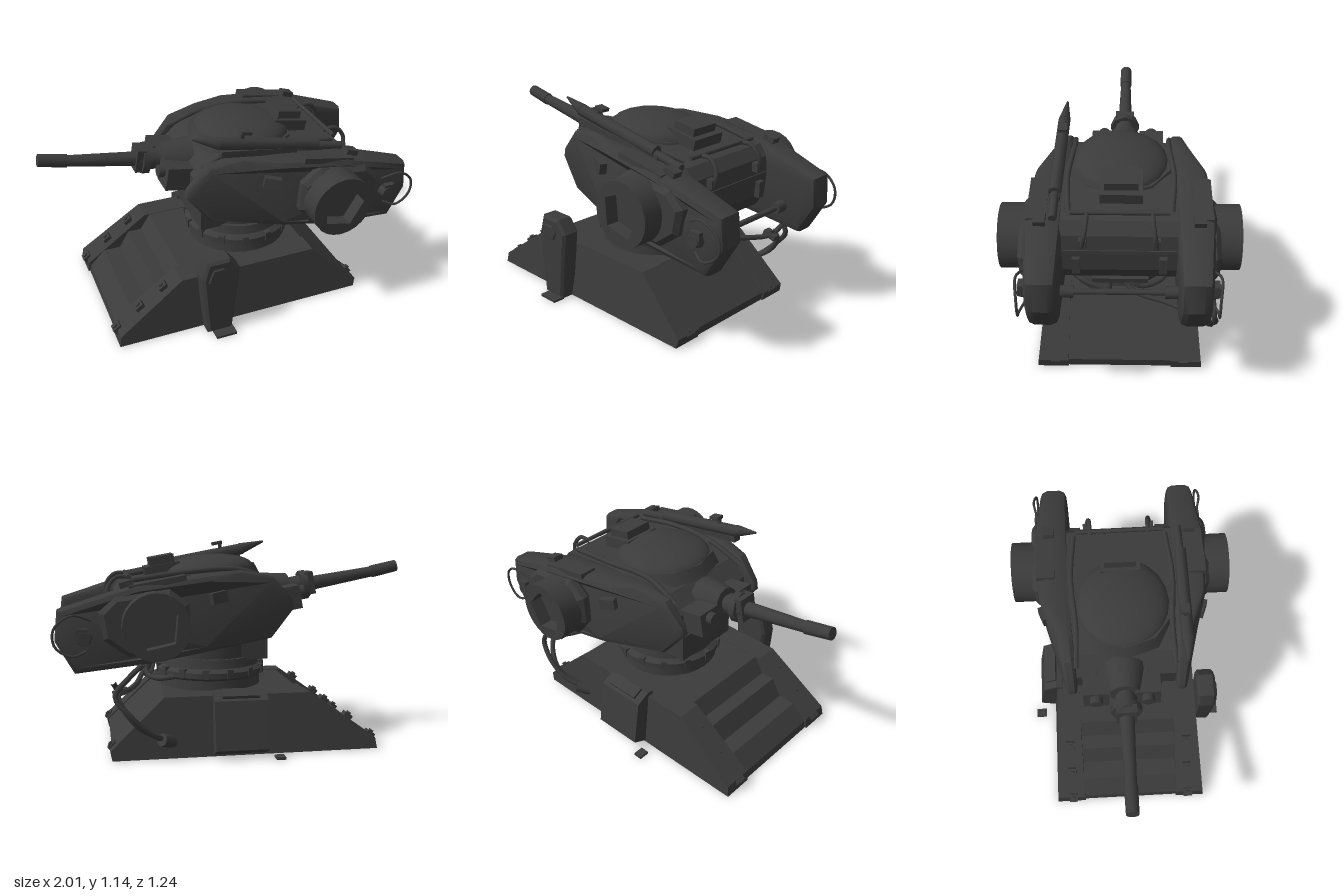
import * as THREE from 'three';
import { toCreasedNormals } from 'three/addons/utils/BufferGeometryUtils.js';

const TILT = -0.18; // the gun house leans down towards +x
const V = (p) => new THREE.Vector3(...p);

function place(geo, x = 0, y = 0, z = 0, rx = 0, ry = 0, rz = 0) {
  return geo.rotateX(rx).rotateY(ry).rotateZ(rz).translate(x, y, z);
}
const box = (w, h, d, ...t) => place(new THREE.BoxGeometry(w, h, d), ...t);
const cyl = (r1, r2, h, n, ...t) => place(new THREE.CylinderGeometry(r1, r2, h, n), ...t);
const shapeOf = (pts) => new THREE.Shape(pts.map((p) => new THREE.Vector2(...p)));
const slab = (pts, z0, z1, bevel = 0) => new THREE.ExtrudeGeometry(shapeOf(pts), {
  depth: z1 - z0 - 2 * bevel, bevelEnabled: bevel > 0, bevelThickness: bevel,
  bevelSize: bevel, bevelOffset: -bevel, bevelSegments: 1,
}).translate(0, 0, z0 + bevel);
const tube = (pts, r) => new THREE.TubeGeometry(new THREE.CatmullRomCurve3(pts.map(V)), 24, r, 7);
// Cylinder from point a to point b
function rod(a, b, r1, r2 = r1, n = 10) {
  const d = V(b).sub(V(a));
  const q = new THREE.Quaternion().setFromUnitVectors(new THREE.Vector3(0, 1, 0), d.clone().normalize());
  return new THREE.CylinderGeometry(r2, r1, d.length(), n).applyQuaternion(q)
    .translate(...V(a).addScaledVector(d, 0.5).toArray());
}
// Mirror across z = 0, keeping faces outward
function mirrorZ(geo) {
  const g = geo.index ? geo.toNonIndexed() : geo.clone();
  g.scale(1, 1, -1);
  for (const name of ['position', 'normal']) {
    const a = g.attributes[name];
    for (let i = 0; i < a.count; i += 3) {
      const b = [a.getX(i + 1), a.getY(i + 1), a.getZ(i + 1)];
      a.setXYZ(i + 1, a.getX(i + 2), a.getY(i + 2), a.getZ(i + 2));
      a.setXYZ(i + 2, ...b);
    }
  }
  return g;
}
// Move every vertex by a rule, then rebuild the normals
function warp(geo, rule, crease = 0.6) {
  const p = geo.attributes.position;
  for (let i = 0; i < p.count; i++) p.setXYZ(i, ...rule(p.getX(i), p.getY(i), p.getZ(i)));
  geo.computeVertexNormals();
  return toCreasedNormals(geo, crease);
}
function lerpTable(t, x) {
  if (x <= t[0][0]) return t[0][1];
  for (let i = 1; i < t.length; i++) if (x <= t[i][0]) {
    return THREE.MathUtils.mapLinear(x, t[i - 1][0], t[i][0], t[i - 1][1], t[i][1]);
  }
  return t[t.length - 1][1];
}

export function createModel() {
  const model = new THREE.Group();
  const gunmetal = new THREE.MeshStandardMaterial({ color: 0x3b3b3b });
  gunmetal.name = 'gunmetal';
  const add = (name, geo) => {
    const m = new THREE.Mesh(geo, gunmetal);
    m.name = name;
    model.add(m);
  };
  const pair = (name, geo) => { add(name + 'Front', geo); add(name + 'Back', mirrorZ(geo)); };

  // Base: leaning side rails and a stepped, hollow middle
  const rail = [[-0.75, 0.01], [0.71, 0.01], [0.72, 0.06], [0.43, 0.335], [-0.37, 0.335], [-0.74, 0.07]];
  pair('baseRail', warp(slab(rail, 0.28, 0.45), (x, y, z) => [x, y, z > 0.4 ? z - 0.11 * (y - 0.01) : z], 0.3));
  add('baseMiddle', slab([[-0.74, 0.01], [-0.5, 0.01], [-0.5, 0.04], [0.66, 0.04], [0.66, 0.01], [0.7, 0.01],
    [0.71, 0.06], [0.42, 0.332], [-0.34, 0.332], [-0.4, 0.24], [-0.48, 0.24], [-0.54, 0.14], [-0.64, 0.14],
    [-0.73, 0.05]], -0.28, 0.28));
  for (const [x, y, a] of [[0.7, 0.065, -0.75], [-0.735, 0.065, 0.62], [-0.6, 0.175, 0.62], [-0.46, 0.275, 0.62]]) {
    pair('railBolt', box(0.05, 0.04, 0.05, x, y, 0.35, 0, 0, a));
    pair('railBoltHead', cyl(0.014, 0.014, 0.06, 6, x, y, 0.35, 0, 0, a));
  }

  // Side shield, rear box and feet
  add('sideShield', slab([[-0.26, 0.01], [-0.115, 0.01], [-0.07, 0.42], [-0.13, 0.495], [-0.26, 0.495], [-0.29, 0.39]],
    0.42, 0.53, 0.015));
  add('shieldLatch', slab([[-0.26, 0.37], [-0.16, 0.37], [-0.14, 0.41], [-0.17, 0.45], [-0.23, 0.45]], 0.52, 0.54, 0.005));
  add('sideFoot', box(0.12, 0.014, 0.07, -0.17, 0.015, 0.55));
  add('rearBox', slab([[0.38, 0.36], [0.42, 0.36], [0.495, 0.32], [0.535, 0.06], [0.43, 0.01], [0.38, 0.01]], -0.12, 0.17)
    .rotateY(Math.PI / 2));
  add('rearBoxLid', box(0.2, 0.02, 0.07, 0.025, 0.35, -0.45, -0.45));
  add('rearFoot', box(0.05, 0.014, 0.06, -0.175, 0.015, -0.54));

  // Turning ring and neck
  const ring = [[0, 0.33], [0.29, 0.33], [0.285, 0.385], [0.31, 0.4], [0.31, 0.43], [0.28, 0.45], [0.27, 0.5],
    [0.25, 0.5], [0.25, 0.68], [0, 0.68]];
  add('turningRing', toCreasedNormals(new THREE.LatheGeometry(ring.map((p) => new THREE.Vector2(...p)), 28)
    .translate(0.12, 0, 0.01), 0.5));
  add('neckFront', box(0.16, 0.16, 0.4, -0.1, 0.57, 0.01));
  for (let i = 0; i < 14; i++) {
    const a = (i / 14) * Math.PI * 2;
    add('ringClamp', box(0.03, 0.05, 0.035, 0.12 + 0.3 * Math.cos(a), 0.425, 0.01 - 0.3 * Math.sin(a), 0, a));
  }

  // Central gun house
  add('gunHouse', slab([[-0.23, 0.72], [-0.15, 0.63], [0.4, 0.57], [0.62, 0.58], [0.67, 0.66], [0.68, 0.78], [0.67, 0.87],
    [0.62, 0.93], [0.3, 0.975], [0.0, 0.985], [-0.13, 0.95], [-0.23, 0.86]], -0.3, 0.3));
  add('rearSeam', box(0.012, 0.02, 0.56, 0.68, 0.78, 0));
  pair('rearVent', box(0.04, 0.09, 0.04, 0.685, 0.705, 0.22));
  pair('rearHook', tube([[0.58, 0.96, 0.165], [0.66, 0.96, 0.165], [0.71, 0.9, 0.175], [0.7, 0.82, 0.19]], 0.012));
  pair('rearHookPad', box(0.04, 0.05, 0.04, 0.69, 0.84, 0.185));
  add('rearRail', rod([0.6, 0.965, -0.25], [0.6, 0.965, 0.25], 0.012));

  // Side pods, thin at the nose and thick behind
  const inner = [[-0.3, 0.27], [0.2, 0.28], [0.99, 0.3]];
  const outer = [[-0.3, 0.33], [0, 0.38], [0.2, 0.46], [0.57, 0.49], [0.99, 0.45]];
  const podShape = [[-0.3, 0.79], [-0.17, 0.63], [0.2, 0.575], [0.5, 0.525], [0.89, 0.48], [0.99, 0.65], [0.975, 0.81],
    [0.57, 0.94], [0.2, 0.985], [0, 1.0], [-0.18, 0.965], [-0.29, 0.84]];
  pair('sidePod', warp(new THREE.ExtrudeGeometry(shapeOf(podShape), {
    depth: 0.5, bevelThickness: 0.25, bevelSize: 0.035, bevelOffset: -0.035, bevelSegments: 2,
  }).translate(0, 0, 0.25), (x, y, t) => [x, y, THREE.MathUtils.lerp(lerpTable(inner, x), lerpTable(outer, x), t)]));

  // Drums with a five-sided recess on an angular housing
  const ngon = (n, r, a0) => Array.from({ length: n }, (_, i) =>
    new THREE.Vector2(r * Math.cos(a0 + (i / n) * Math.PI * 2), r * Math.sin(a0 + (i / n) * Math.PI * 2)));
  const drum = new THREE.Shape(ngon(24, 0.173, 0));
  drum.holes.push(new THREE.Path(ngon(5, 0.125, 0.1)));
  pair('drum', toCreasedNormals(new THREE.ExtrudeGeometry(drum, { depth: 0.18, bevelEnabled: false })
    .translate(0.48, 0.735, 0.44), 0.5));
  pair('drumFloor', cyl(0.15, 0.15, 0.05, 16, 0.48, 0.735, 0.52, Math.PI / 2));
  pair('drumHousing', slab([[0.29, 0.68], [0.36, 0.585], [0.62, 0.57], [0.74, 0.66], [0.765, 0.8], [0.68, 0.88], [0.4, 0.915],
    [0.3, 0.84]], 0.42, 0.505, 0.025));
  pair('podBlock', box(0.09, 0.06, 0.04, 0.14, 0.865, 0.44, 0, -0.35, TILT));
  pair('podKnob', cyl(0.035, 0.045, 0.05, 8, 0.84, 0.67, 0.475, Math.PI / 2));
  pair('podKnobBlock', box(0.06, 0.06, 0.03, 0.85, 0.69, 0.48));
  pair('podTopPlate', box(0.3, 0.03, 0.1, 0.46, 0.945, 0.42, 0, 0, TILT));
  pair('podTopBlock', box(0.07, 0.04, 0.06, 0.62, 0.935, 0.4, 0, 0, -0.3));
  pair('podEndLoop', tube([[0.8, 0.76, 0.47], [0.9, 0.79, 0.495], [0.99, 0.72, 0.485], [0.985, 0.63, 0.485],
    [0.9, 0.58, 0.49], [0.83, 0.6, 0.46]], 0.007));
  add('crossBar', rod([0.79, 0.615, -0.31], [0.79, 0.615, 0.31], 0.015));
  pair('crossBarSocket', rod([0.79, 0.615, 0.23], [0.79, 0.615, 0.32], 0.032));

  // Dome, hatch and dome collar
  add('domeCollar', cyl(0.28, 0.31, 0.07, 10, 0.14, 0.965, 0, 0, 0.3, -0.1));
  add('dome', place(new THREE.SphereGeometry(1, 20, 8, 0, Math.PI * 2, 0, Math.PI / 2).scale(0.275, 0.09, 0.255),
    0.14, 0.985, 0, 0, 0, -0.08));
  add('hatch', box(0.14, 0.05, 0.175, 0.405, 1.045, -0.005, 0, 0, TILT));
  add('hatchBase', box(0.2, 0.07, 0.22, 0.4, 0.99, -0.005, 0, 0, TILT));

  // Long cannon and its mount
  const bore = (x) => [x, 0.835 - 0.175 * (x + 0.1), -0.012];
  add('mantlet', rod(bore(-0.18), bore(-0.34), 0.12, 0.085, 12));
  add('cannonCollar', rod(bore(-0.36), bore(-0.47), 0.06, 0.06, 10));
  add('cannonFlange', rod(bore(-0.41), bore(-0.45), 0.085, 0.085, 8));
  add('cannonBarrel', rod(bore(-0.3), bore(-0.87), 0.046, 0.03, 14));
  add('cannonMuzzle', rod(bore(-0.85), [-1, 1.0, -0.012], 0.036, 0.034, 14));
  add('cannonClamp', box(0.05, 0.13, 0.11, -0.46, 0.905, -0.012, 0, 0, TILT));
  for (const z of [-0.17, 0.11]) {
    add('mantletPod', box(0.16, 0.13, 0.14, -0.28, 0.83, z, 0, 0, TILT));
    add('mantletPipe', rod([-0.39, 0.87, z], [-0.1, 0.84, z], 0.035));
  }

  // Slim launcher above the front pod
  add('launcherTip', rod([-0.12, 1.095, 0.325], [-0.26, 1.14, 0.315], 0.035, 0.006, 8));
  add('launcherBody', rod([-0.13, 1.095, 0.325], [0.45, 0.985, 0.335], 0.034, 0.034, 8));
  add('launcherRail', box(0.6, 0.035, 0.05, 0.18, 1.0, 0.335, 0, 0, -0.14));
  add('launcherTail', rod([0.42, 0.98, 0.335], [0.62, 0.94, 0.335], 0.022));
  add('launcherSight', box(0.06, 0.018, 0.05, 0.03, 1.13, 0.32, 0, 0, TILT));
  add('launcherSightPost', box(0.018, 0.08, 0.02, 0.01, 1.09, 0.325));
  pair('roofPipe', tube([[-0.2, 0.93, 0.27], [0.0, 1.0, 0.26], [0.3, 0.99, 0.28], [0.58, 0.95, 0.26]], 0.015));

  // Belly tray and hanging cables
  add('bellyTray', box(0.42, 0.03, 0.3, 0.36, 0.54, 0, 0, 0, TILT));
  const cables = [
    [[0.3, 0.56, 0.02], [0.45, 0.52, 0.0], [0.52, 0.41, -0.06], [0.58, 0.37, -0.25], [0.66, 0.37, -0.4], [0.7, 0.44, -0.47]],
    [[0.32, 0.56, -0.04], [0.46, 0.5, -0.06], [0.5, 0.42, -0.09], [0.45, 0.4, -0.2], [0.36, 0.42, -0.28]],
    [[0.35, 0.56, 0.02], [0.48, 0.5, 0.05], [0.5, 0.38, 0.07], [0.46, 0.37, 0.15], [0.42, 0.47, 0.3]],
    [[0.55, 0.52, -0.46], [0.62, 0.46, -0.49], [0.69, 0.37, -0.5], [0.62, 0.27, -0.52], [0.52, 0.17, -0.5], [0.4, 0.1, -0.43]],
    [[0.66, 0.4, -0.4], [0.67, 0.34, -0.45], [0.58, 0.21, -0.5], [0.45, 0.12, -0.45]],
    [[0.23, 0.68, 0.38], [0.24, 0.58, 0.36], [0.34, 0.5, 0.32], [0.5, 0.47, 0.22], [0.53, 0.4, 0.06]],
  ];
  for (const c of cables) add('cable', tube(c, 0.015));
  add('cableBracket', box(0.08, 0.03, 0.05, 0.66, 0.37, -0.4, 0, 0, -0.3));
  add('cablePlug', rod([0.38, 0.09, -0.41], [0.45, 0.12, -0.47], 0.035));
  for (const z of [-0.06, 0.06]) add('cableSleeve', rod([0.47, 0.53, z * 0.8], [0.5, 0.44, z * 1.2], 0.026));

  return model;
}
